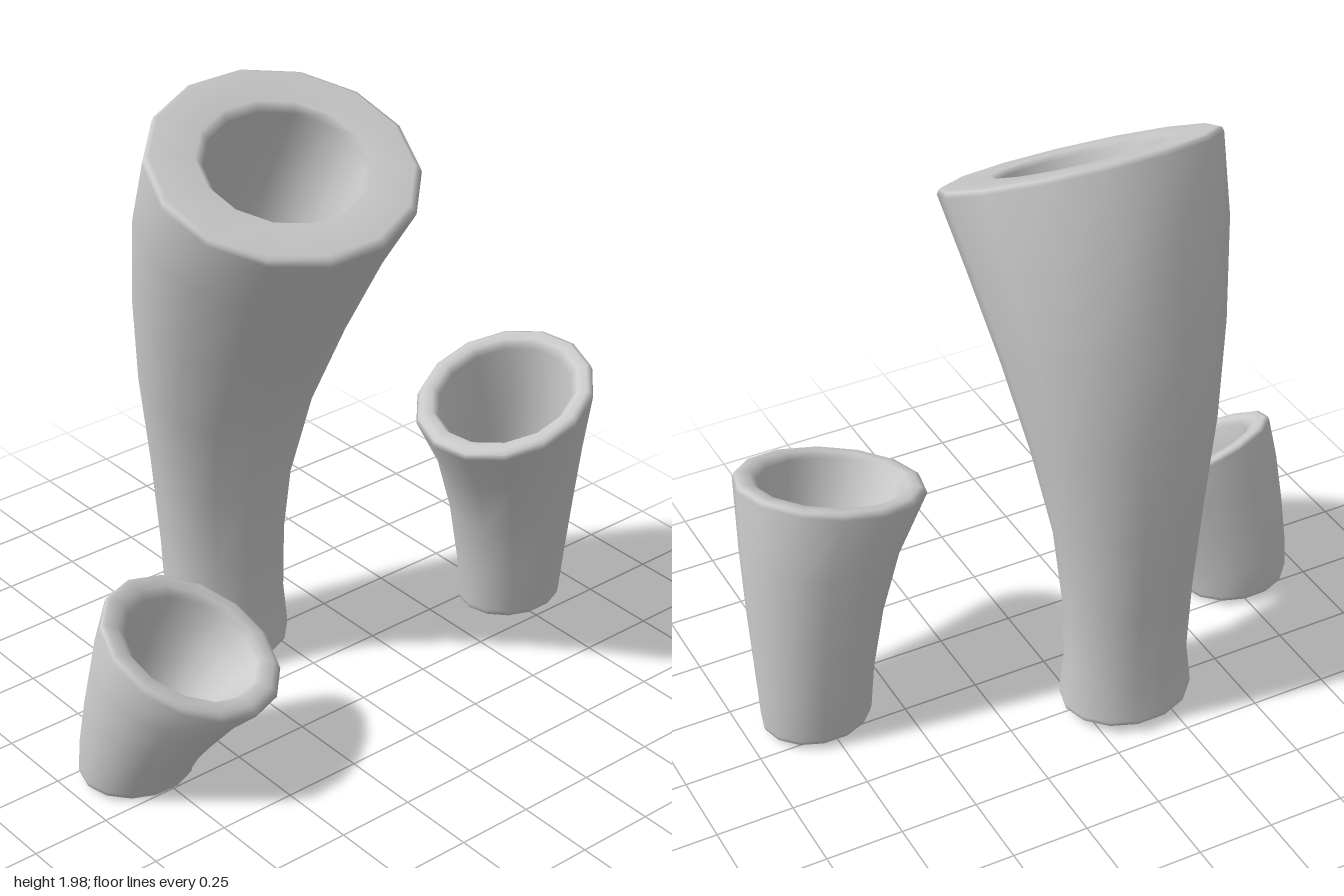
import * as THREE from 'three';

const SIDES = 14;
const BEVEL = 0.022;

// A section is [x, y, z, radiusX, radiusZ, slopeX, slopeZ]: an ellipse whose
// plane is tilted by the slopes. k0 and k1 are the bore ratios at bottom and top.
function hollowTube(name, sections, k0, k1, edge) {
  const first = sections[0];
  const last = sections[sections.length - 1];
  const mids = sections.slice(1, -1);
  const bore = (i) => THREE.MathUtils.lerp(k0, k1, i / (sections.length - 1));

  // Closed loop: outer wall up, top rim, bore down, bottom rim
  const rows = [
    [first, 1, BEVEL],
    ...mids.map((s) => [s, 1, 0]),
    [last, 1, -BEVEL],
    [last, 1 - edge * 0.3, -BEVEL * 0.3],
    [last, 1 - edge, 0],
    [last, k1 + edge, 0],
    [last, k1, -BEVEL],
    ...mids.map((s, i) => [s, bore(i + 1), 0]).reverse(),
    [first, k0, BEVEL],
    [first, k0 + edge, 0],
    [first, 1 - edge, 0],
    [first, 1 - edge * 0.3, BEVEL * 0.3],
  ];

  const positions = [];
  const indices = [];
  rows.forEach(([[x, y, z, rx, rz, sx, sz], scale, lift], i) => {
    const next = (i + 1) % rows.length;
    for (let j = 0; j < SIDES; j++) {
      const angle = (j / SIDES) * Math.PI * 2;
      const dx = Math.cos(angle) * rx * scale;
      const dz = Math.sin(angle) * rz * scale;
      positions.push(x + dx, y + lift + sx * dx + sz * dz, z + dz);
      const j2 = (j + 1) % SIDES;
      const a = i * SIDES + j, b = i * SIDES + j2;
      const c = next * SIDES + j2, d = next * SIDES + j;
      indices.push(a, d, b, b, d, c);
    }
  });

  const geometry = new THREE.BufferGeometry();
  geometry.setAttribute('position', new THREE.Float32BufferAttribute(positions, 3));
  geometry.setIndex(indices);
  geometry.computeVertexNormals();
  const mesh = new THREE.Mesh(geometry, new THREE.MeshStandardMaterial({ color: 0xcccccc }));
  mesh.name = name;
  return mesh;
}

export function createModel() {
  const group = new THREE.Group();
  group.name = 'tubeCluster';

  // Tall tube, leaning forward with a thick wall
  group.add(hollowTube('tallTube', [
    [-0.15, 0.035, -0.27, 0.217, 0.182, 0, 0],
    [-0.15, 0.2, -0.268, 0.202, 0.169, 0, 0],
    [-0.15, 0.425, -0.274, 0.21, 0.175, 0, -0.14],
    [-0.15, 0.715, -0.269, 0.24, 0.195, 0, -0.33],
    [-0.15, 1.015, -0.233, 0.295, 0.234, 0, -0.37],
    [-0.15, 1.31, -0.158, 0.35, 0.288, 0, -0.38],
    [-0.15, 1.595, -0.058, 0.405, 0.323, 0, -0.45],
    [-0.15, 1.83, 0.052, 0.441, 0.338, 0, -0.5],
  ], 0.62, 0.58, 0.05));

  // Medium tube on the left, leaning inward
  group.add(hollowTube('mediumTube', [
    [0.765, 0.022, 0.097, 0.18, 0.154, 0, 0],
    [0.76, 0.2, 0.103, 0.19, 0.17, 0.03, -0.03],
    [0.741, 0.42, 0.118, 0.216, 0.193, 0.1, -0.06],
    [0.707, 0.63, 0.138, 0.25, 0.222, 0.17, -0.1],
    [0.645, 0.86, 0.17, 0.302, 0.262, 0.25, -0.15],
  ], 0.74, 0.75, 0.07));

  // Short tube on the right, leaning inward and forward
  group.add(hollowTube('shortTube', [
    [-0.775, 0.015, 0.1, 0.185, 0.16, -0.02, -0.05],
    [-0.765, 0.13, 0.12, 0.197, 0.178, -0.06, -0.17],
    [-0.735, 0.25, 0.157, 0.226, 0.2, -0.12, -0.3],
    [-0.7, 0.37, 0.197, 0.255, 0.22, -0.19, -0.43],
    [-0.66, 0.485, 0.235, 0.283, 0.235, -0.26, -0.56],
  ], 0.7, 0.73, 0.07));

  return group;
}
